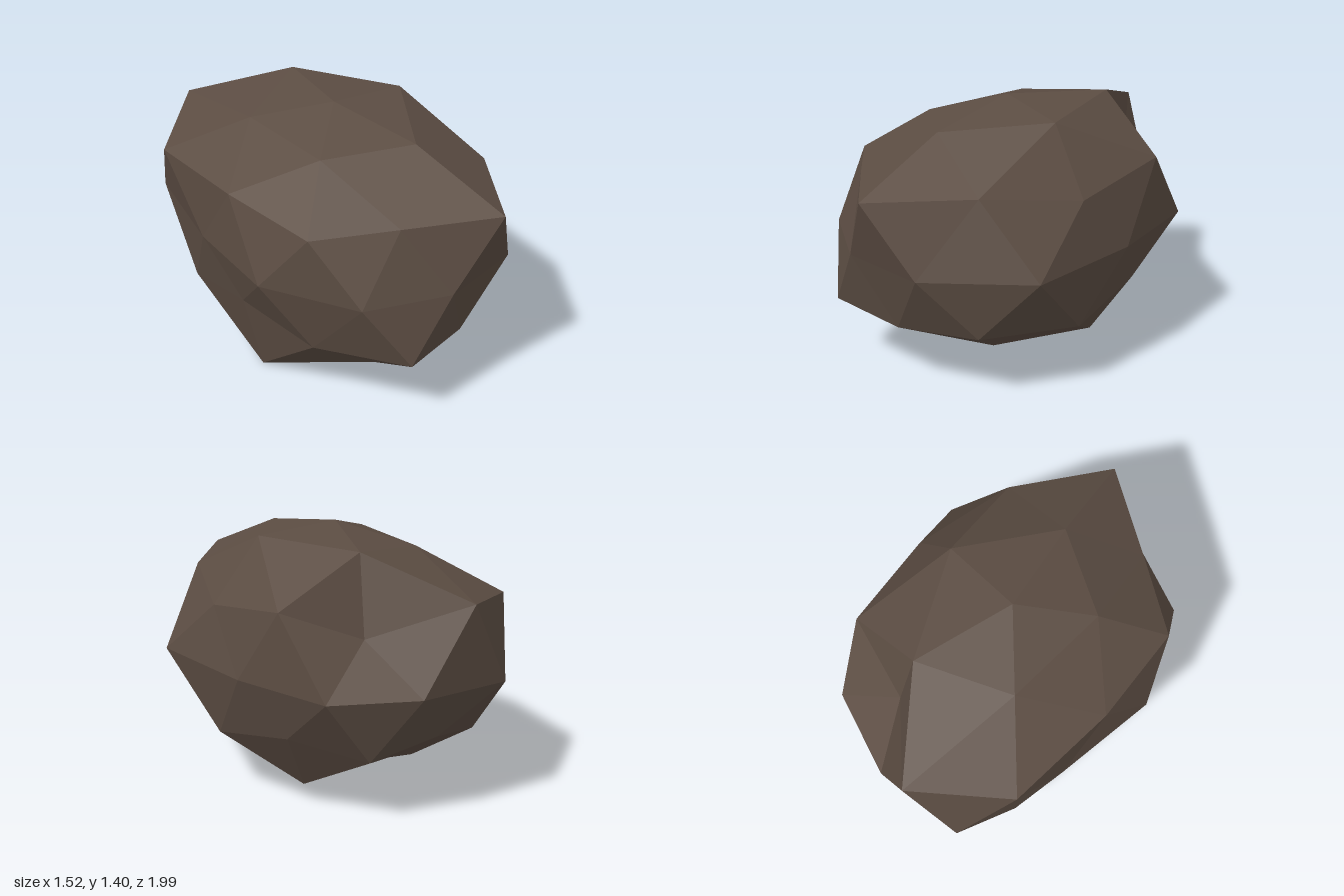
import * as THREE from 'three';
import { ConvexGeometry } from 'three/addons/geometries/ConvexGeometry.js';

// Rings of a subdivided icosahedron, top to bottom:
// [height on unit sphere, first angle, angle step, radius factor of each point]
const RINGS = [
  [1, 0, 72, [0.956]],
  [0.8507, 0, 72, [1.063, 0.987, 0.93, 0.95, 1.068]],
  [0.5257, 36, 72, [1.05, 0.94, 0.995, 1.215, 1.07]],
  [0.4472, 0, 72, [0.985, 1.18, 1.03, 1.155, 0.745]],
  [0, 18, 36, [1.113, 1.025, 0.937, 0.965, 0.948, 0.88, 1.09, 0.943, 0.99, 0.922]],
  [-0.4472, 36, 72, [1.05, 1.07, 0.86, 0.89, 0.885]],
  [-0.5257, 0, 72, [1.01, 0.973, 0.94, 1.03, 0.945]],
  [-0.8507, 36, 72, [0.93, 0.985, 1.19, 0.84, 1.015]],
  [-1, 0, 72, [0.96]],
];
const STRETCH = new THREE.Vector3(0.775, 0.711, 1);
const CENTRE = new THREE.Vector3(-0.06, 0.72, -0.015);

export function createModel() {
  const stone = new THREE.MeshStandardMaterial({ color: 0x5c4d43 });
  stone.name = 'brown stone';

  // Unit directions with their radius factors
  const points = [];
  const factors = [];
  for (const [y, start, step, radii] of RINGS) {
    const ring = Math.sqrt(1 - y * y);
    radii.forEach((factor, i) => {
      const angle = THREE.MathUtils.degToRad(start + i * step);
      points.push(new THREE.Vector3(ring * Math.cos(angle), y, ring * Math.sin(angle)));
      factors.push(factor);
    });
  }

  // Even faceted ball, each corner then pushed in or out to make the rough boulder
  const geometry = new ConvexGeometry(points);
  const position = geometry.attributes.position;
  const v = new THREE.Vector3();
  for (let i = 0; i < position.count; i++) {
    v.fromBufferAttribute(position, i);
    const k = points.findIndex((p) => p.distanceTo(v) < 0.01);
    v.multiplyScalar(factors[k]).multiply(STRETCH).add(CENTRE);
    position.setXYZ(i, v.x, v.y, v.z);
  }
  geometry.computeVertexNormals(); // unshared corners keep the facets flat

  const boulder = new THREE.Mesh(geometry, stone);
  boulder.name = 'boulder';
  const group = new THREE.Group();
  group.name = 'rock';
  group.add(boulder);
  return group;
}
